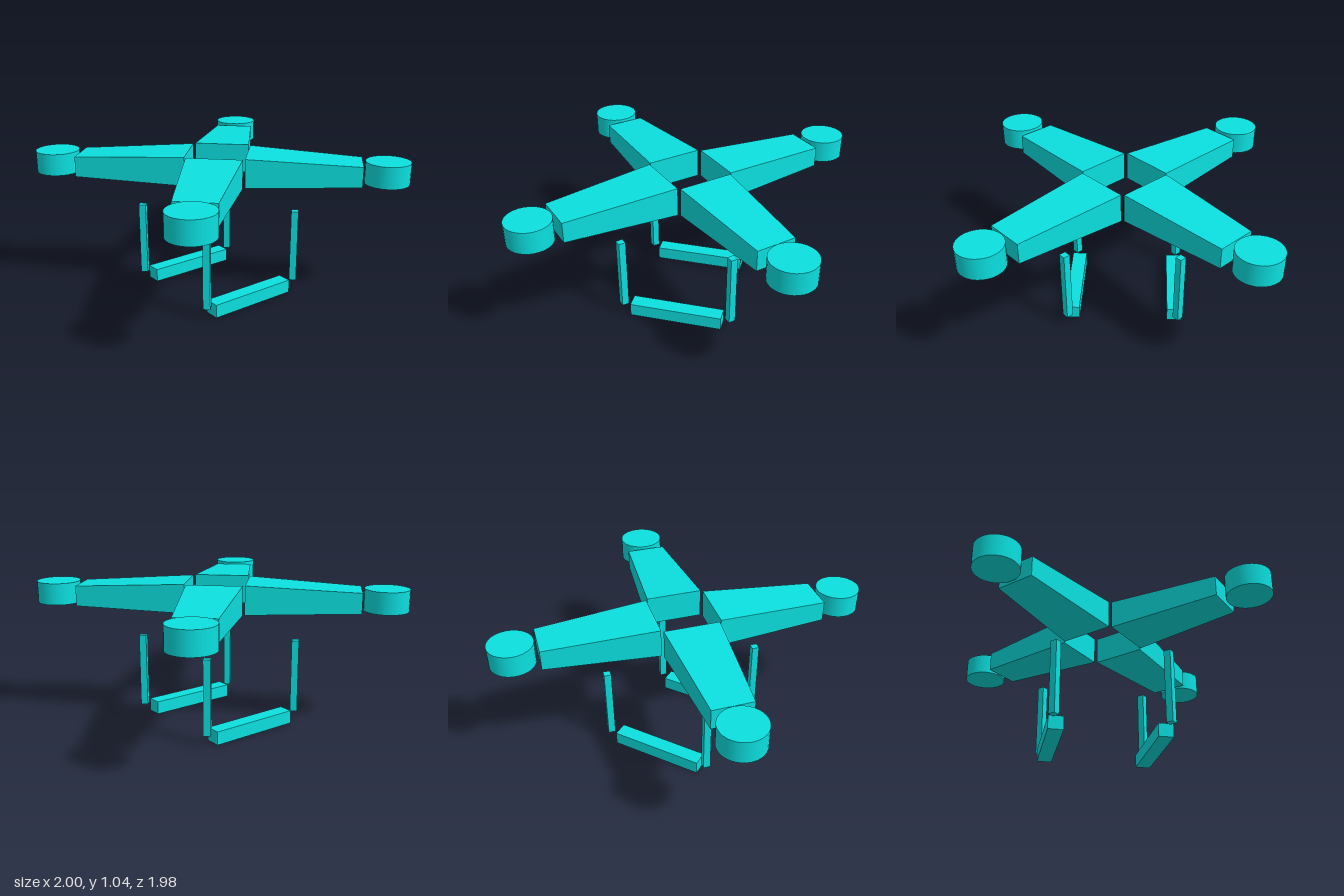
import * as THREE from 'three';

const material = new THREE.MeshStandardMaterial({ color: 0x0ce0e0, flatShading: true });
const smooth = new THREE.MeshStandardMaterial({ color: 0x0ce0e0 });

// Box along +z that tapers from its inner end to its outer end
function taperedArm(length, inner, outer) {
  const geo = new THREE.BoxGeometry(1, 1, length);
  const p = geo.attributes.position;
  for (let i = 0; i < p.count; i++) {
    const end = p.getZ(i) < 0 ? inner : outer;
    p.setX(i, p.getX(i) * end.width);
    p.setY(i, p.getY(i) < 0 ? end.bottom : end.top);
  }
  geo.computeVertexNormals();
  return geo;
}

export function createModel() {
  const group = new THREE.Group();
  const add = (name, geo, x, y, z, turn = 0, mat = material) => {
    const mesh = new THREE.Mesh(geo, mat);
    mesh.name = name;
    mesh.position.set(x, y, z);
    mesh.rotation.y = turn;
    group.add(mesh);
  };

  const arm = taperedArm(0.8,
    { width: 0.395, bottom: 0.83, top: 1.037 },
    { width: 0.28, bottom: 0.85, top: 0.995 });
  const motor = new THREE.CylinderGeometry(0.157, 0.157, 0.156, 32);
  const post = new THREE.BoxGeometry(0.051, 0.535, 0.051);
  const skid = new THREE.BoxGeometry(0.107, 0.096, 0.672);

  for (const sx of [-1, 1]) {
    const side = sx > 0 ? 'left' : 'right';
    for (const sz of [-1, 1]) {
      const corner = side + (sz > 0 ? 'Front' : 'Back');
      // Diagonal arm with a round motor pod at its tip
      add(corner + 'Arm', arm, sx * 0.432, 0, sz * 0.432 - 0.003, Math.atan2(sx, sz));
      add(corner + 'Motor', motor, sx * 0.842, 0.93, sz * 0.832 - 0.003, 0, smooth);
      // Landing gear post, set diagonally
      add(corner + 'LegPost', post, sx * 0.396 - 0.003, 0.348, sz * 0.395 - 0.003, Math.PI / 4);
    }
    // Landing skid running front to back
    add(side + 'Skid', skid, sx * 0.373 - 0.003, 0.048, 0);
  }
  return group;
}
